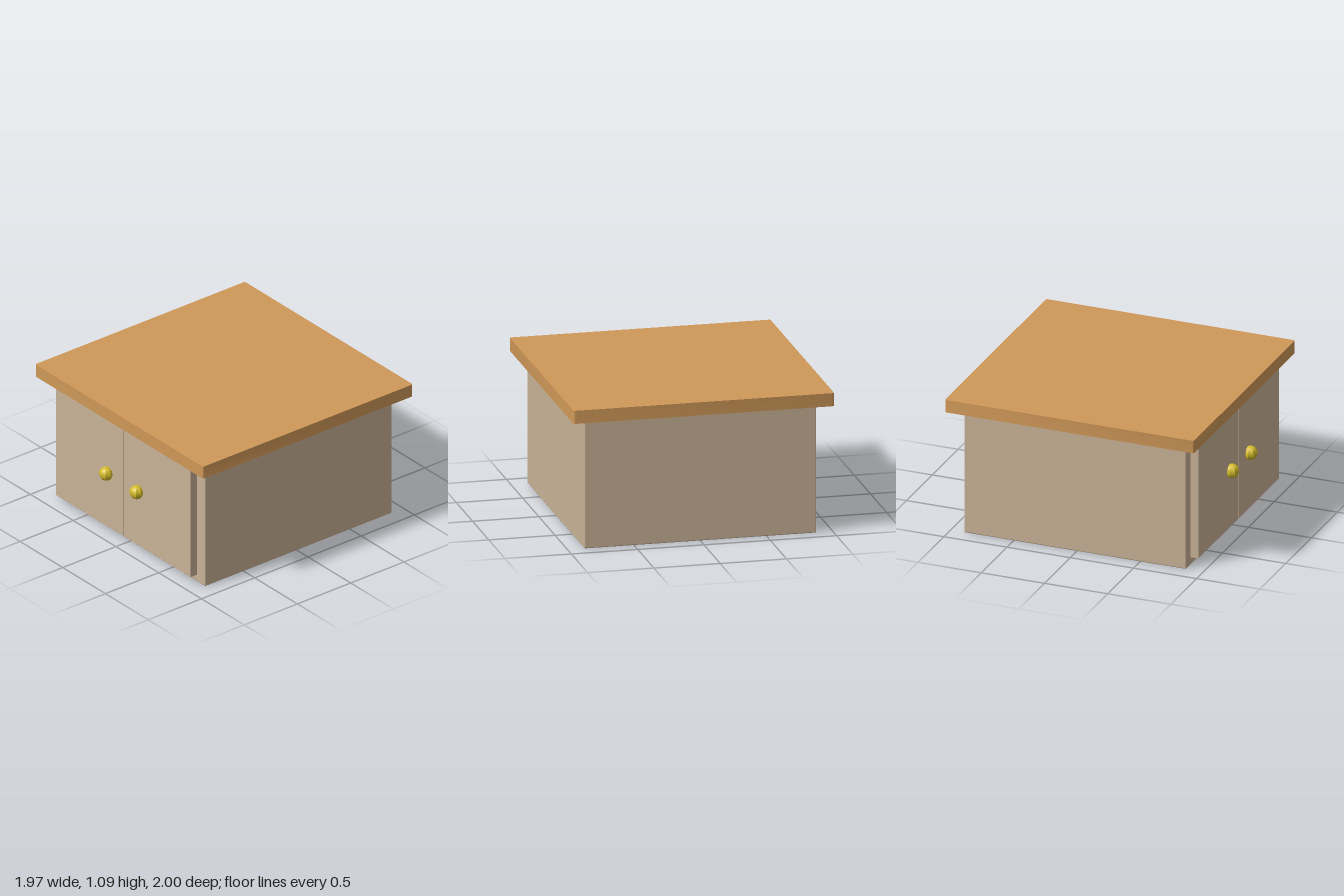
import * as THREE from 'three';
import { toCreasedNormals } from 'three/addons/utils/BufferGeometryUtils.js';
import { RoundedBoxGeometry } from 'three/addons/geometries/RoundedBoxGeometry.js';

const bodyPaint = new THREE.MeshStandardMaterial({ color: 0xc9b297 });
const wood = new THREE.MeshStandardMaterial({ color: 0xcf9858 });
const brass = new THREE.MeshStandardMaterial({ color: 0xd4bb2a });

// Slab with rounded vertical corners, standing on y = 0
function slab(width, height, depth, r) {
  const x = width / 2, z = depth / 2;
  const s = new THREE.Shape();
  s.moveTo(-x + r, -z).lineTo(x - r, -z).quadraticCurveTo(x, -z, x, -z + r);
  s.lineTo(x, z - r).quadraticCurveTo(x, z, x - r, z);
  s.lineTo(-x + r, z).quadraticCurveTo(-x, z, -x, z - r);
  s.lineTo(-x, -z + r).quadraticCurveTo(-x, -z, -x + r, -z);
  const g = new THREE.ExtrudeGeometry(s, { depth: height, bevelEnabled: false, curveSegments: 4 });
  return toCreasedNormals(g.rotateX(-Math.PI / 2), 0.6);
}

export function createModel() {
  const group = new THREE.Group();
  const add = (name, geometry, material, x, y, z) => {
    const mesh = new THREE.Mesh(geometry, material);
    mesh.name = name;
    mesh.position.set(x, y, z);
    group.add(mesh);
  };

  // Cabinet body and overhanging top
  add('body', new RoundedBoxGeometry(1.75, 0.99, 1.755, 2, 0.009), bodyPaint, 0, 0.495, -0.0125);
  add('top', slab(1.965, 0.1, 1.97, 0.015), wood, 0, 0.99, -0.015);

  // Pair of doors, each with a faceted round knob
  const door = new THREE.BoxGeometry(0.777, 0.915, 0.07);
  const knob = toCreasedNormals(new THREE.SphereGeometry(0.054, 8, 16), 0.5);
  for (const [side, sign] of [['left', 1], ['right', -1]]) {
    add(side + 'Door', door, bodyPaint, sign * 0.394 - 0.002, 0.517, 0.89);
    add(side + 'Knob', knob, brass, sign * 0.178 - 0.002, 0.517, 0.946);
  }
  return group;
}
